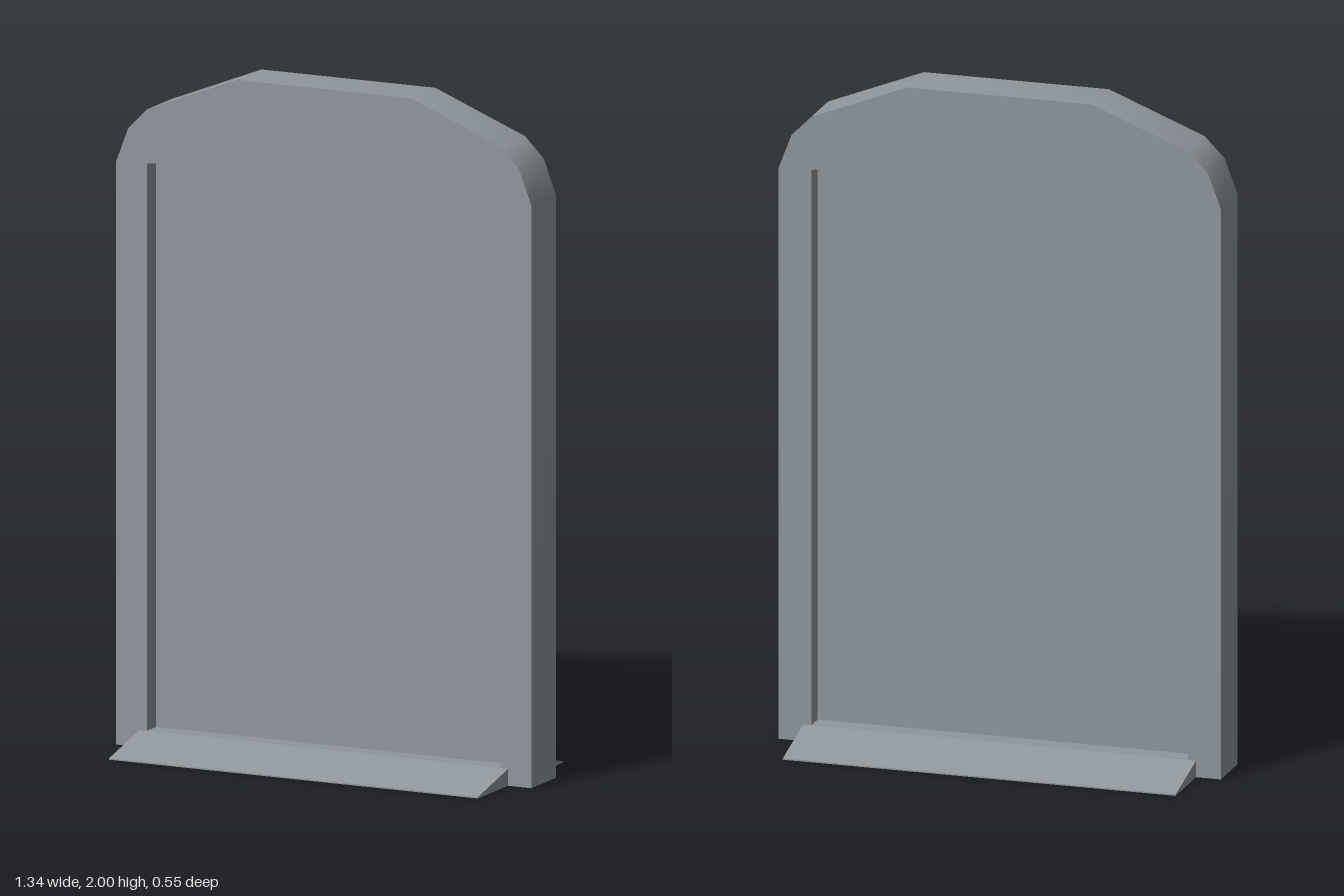
import * as THREE from 'three';

const steel = new THREE.MeshStandardMaterial({ color: 0x8f979d, side: THREE.DoubleSide });
steel.name = 'grey steel';

const HALF_DEPTH = 0.08; // frame
const PANEL_Z = 0.02; // recessed door panel

// Mirror a right-hand half profile (bottom to top) into a full arch
const arch = (half) => [...half, ...half.slice().reverse().map(([x, y]) => [-x, y])];
const outer = arch([[0.67, 0], [0.67, 1.72], [0.63, 1.825], [0.57, 1.885], [0.28, 2]]);
const inner = arch([[0.57, 0], [0.57, 1.725], [0.28, 1.758]]);

const toShape = (pts) => new THREE.Shape(pts.map(([x, y]) => new THREE.Vector2(x, y)));

// Wall running along a path from front to back, open at the bottom
function ribbon(path) {
  const pos = [], idx = [];
  path.forEach(([x, y], i) => {
    pos.push(x, y, HALF_DEPTH, x, y, -HALF_DEPTH);
    if (i) {
      const a = 2 * i - 2;
      idx.push(a, a + 1, a + 3, a, a + 3, a + 2);
    }
  });
  const g = new THREE.BufferGeometry();
  g.setAttribute('position', new THREE.Float32BufferAttribute(pos, 3));
  g.setIndex(idx);
  g.computeVertexNormals();
  return g;
}

function flat(geometry) {
  const g = geometry.toNonIndexed();
  g.computeVertexNormals();
  return g;
}

export function createModel() {
  const group = new THREE.Group();
  const add = (name, geometry) => {
    const mesh = new THREE.Mesh(geometry, steel);
    mesh.name = name;
    group.add(mesh);
    return mesh;
  };

  // Frame walls: softly shaded outside, crisp inside
  add('frameOuterWall', ribbon(outer));
  add('frameInnerWall', flat(ribbon(inner.slice().reverse())));

  // Wedge ramp section: x is distance from the door, y is height
  const rampGeometry = new THREE.ExtrudeGeometry(
    toShape([[0.275, 0], [0.275, 0.004], [HALF_DEPTH, 0.05], [PANEL_Z, 0.05], [PANEL_Z, 0.02], [0.05, 0.02], [0.05, 0]]),
    { depth: 1.19, bevelEnabled: false }
  );
  rampGeometry.translate(0, 0, -0.595).rotateY(-Math.PI / 2);

  // Faces, panels and threshold ramps on both sides
  const faceGeometry = new THREE.ShapeGeometry(toShape([...outer, ...inner.slice().reverse()]));
  const panelGeometry = new THREE.ShapeGeometry(toShape(inner));
  for (const [side, turn] of [['front', 0], ['back', Math.PI]]) {
    add(side + 'FrameFace', faceGeometry.clone().translate(0, 0, HALF_DEPTH).rotateY(turn));
    add(side + 'DoorPanel', panelGeometry.clone().translate(0, 0, PANEL_Z).rotateY(turn));
    add(side + 'Ramp', rampGeometry.clone().rotateY(turn));
  }

  return group;
}
